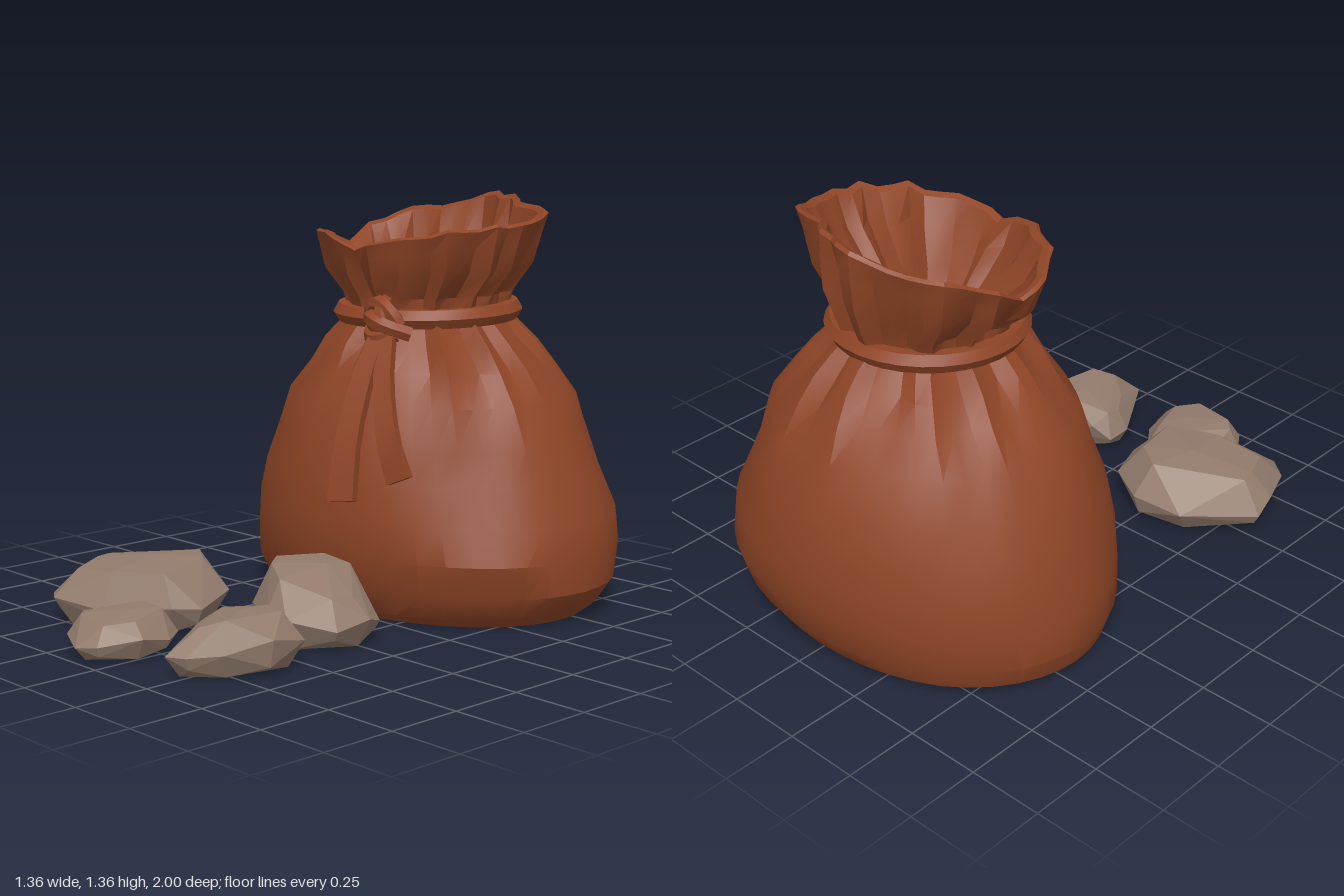
import * as THREE from 'three';
import { toCreasedNormals } from 'three/addons/utils/BufferGeometryUtils.js';
import { ConvexGeometry } from 'three/addons/geometries/ConvexGeometry.js';

const COLS = 44;

// Small seeded generator so every build is identical
function seeded(seed) {
  let s = seed;
  return () => (s = (s * 16807) % 2147483647) / 2147483647;
}

// Skin a list of equal-length closed rings, outward when they run upwards
function loft(rings, crease) {
  const n = rings[0].length, index = [];
  for (let i = 0; i < rings.length - 1; i++) {
    for (let j = 0; j < n; j++) {
      const k = (j + 1) % n;
      const a = i * n + j, b = i * n + k, c = a + n, d = b + n;
      index.push(a, c, b, b, c, d);
    }
  }
  const geo = new THREE.BufferGeometry();
  geo.setAttribute('position', new THREE.Float32BufferAttribute(rings.flat(2), 3));
  geo.setIndex(index);
  return toCreasedNormals(geo, crease);
}

// Cyclic linear lookup, t in 0..1
function cyclic(list, t) {
  const f = t * list.length, i = Math.floor(f), u = f - i;
  return list[i % list.length] * (1 - u) + list[(i + 1) % list.length] * u;
}

function sackGeometry() {
  const rand = seeded(77);
  // Uneven pleats: each is a ridge and valley of random depth and width
  const fold = [], reach = [];
  for (let sign = 1; fold.length < COLS; sign = -sign) {
    const depth = sign * (0.3 + 0.75 * rand()), width = 1 + Math.floor(2.3 * rand());
    for (let w = 0; w < width && fold.length < COLS; w++) {
      fold.push(depth * (w ? 0.55 : 1));
      reach.push(0.3 + 0.7 * rand());
    }
  }
  // Rim height and spread every 30 degrees, from +x towards the front
  const rimY = [1.28, 1.27, 1.24, 1.2, 1.25, 1.23, 1.19, 1.28, 1.31, 1.355, 1.34, 1.31];
  const spread = [1, 0.98, 0.98, 1, 0.97, 0.97, 1, 1.02, 1, 0.98, 0.83, 1.03];
  // y, centre x, centre z, radius x, radius z, pleat depth
  const body = [
    [0, 0, -0.45, 0, 0, 0], [0, -0.01, -0.44, 0.59, 0.44, 0],
    [0.03, -0.01, -0.445, 0.64, 0.48, 0], [0.11, -0.01, -0.445, 0.68, 0.525, 0],
    [0.22, 0, -0.447, 0.69, 0.553, 0], [0.33, 0, -0.445, 0.66, 0.552, 0],
    [0.45, 0, -0.44, 0.615, 0.54, 0], [0.57, 0, -0.44, 0.57, 0.51, 0.004],
    [0.7, 0, -0.43, 0.5, 0.455, 0.014], [0.8, 0.01, -0.425, 0.42, 0.4, 0.028],
    [0.88, 0.01, -0.415, 0.345, 0.345, 0.035], [0.94, 0.01, -0.41, 0.285, 0.295, 0.028],
    [0.98, 0, -0.405, 0.26, 0.265, 0.02],
  ];
  // height fraction neck to rim, radius x, radius z, pleat depth
  const collar = [
    [0.13, 0.275, 0.28, 0.03], [0.45, 0.36, 0.32, 0.032], [0.75, 0.39, 0.34, 0.025],
    [0.97, 0.415, 0.357, 0.014], [1, 0.402, 0.347, 0.014], [0.96, 0.38, 0.324, 0.016],
    [0.6, 0.335, 0.285, 0.032], [0.2, 0.235, 0.215, 0.04], [-0.1, 0.175, 0.155, 0.015],
    [-0.3, 0.17, 0.15, 0], [-0.3, 0, 0, 0],
  ];
  // Soft hollows in the belly: angle, height, depth
  const dents = [[5.65, 0.5, 0.055], [0.7, 0.5, 0.06], [3.6, 0.62, 0.025]];
  const ring = (fn) => Array.from({ length: COLS }, (_, j) => fn(j, (j / COLS) * Math.PI * 2));
  const rings = body.map(([y, cx, cz, rx, rz, pleat]) => {
    // Broad flat patches of cloth, a few columns wide
    const lumps = Array.from({ length: 11 }, () => (y > 0 && y < 0.85 ? 0.036 * (rand() - 0.55) : 0));
    return ring((j, a) => {
      let r = 1 + cyclic(lumps, j / COLS);
      for (const [da, dy, depth] of dents) {
        r -= depth * Math.exp(-(((a - da) / 0.3) ** 2) - ((y - dy) / 0.15) ** 2);
      }
      const p = pleat * fold[j] * (y < 0.85 ? reach[j] : 1);
      return [cx + Math.cos(a) * (rx * r + p), y, cz + Math.sin(a) * (rz * r + p)];
    });
  });
  for (const [f, rx, rz, pleat] of collar) {
    rings.push(ring((j, a) => {
      const t = j / COLS, s = f > 0 ? 1 + (cyclic(spread, t) - 1) * f : 1;
      const p = pleat * fold[j];
      const y = f < 0 ? 1 + f * 0.25 : 1 + f * (cyclic(rimY, t) + 0.008 * fold[j] - 1);
      return [Math.cos(a) * (rx * s + p), y, -0.41 + Math.sin(a) * (rz * s + p)];
    }));
  }
  return loft(rings, 0.45);
}

// Flat strap hanging along a curve, points run from the free end upwards
function strapGeometry(points, width, thick) {
  const curve = new THREE.CatmullRomCurve3(points.map((p) => new THREE.Vector3(...p)));
  const rings = [];
  const steps = 7;
  for (let i = 0; i <= steps; i++) {
    const c = curve.getPoint(i / steps), t = curve.getTangent(i / steps);
    const side = new THREE.Vector3(1, 0, -0.25).addScaledVector(t, -t.x).normalize();
    const out = new THREE.Vector3().crossVectors(side, t).normalize();
    const w = width * (1 - 0.4 * i / steps) / 2;
    const at = (u, v) => c.clone().addScaledVector(side, u * w).addScaledVector(out, v * thick / 2).toArray();
    const r = [at(1, -1), at(1, 1), at(-1, 1), at(-1, -1)];
    const mid = Array(4).fill(c.toArray());
    if (i === 0) rings.push(mid);
    rings.push(r);
    if (i === steps) rings.push(mid);
  }
  return loft(rings, 0.5);
}

// Chipped stone: convex hull around a footprint outline
function stoneGeometry(outline, height, lean, seed) {
  const rand = seeded(seed), pts = [];
  const cx = outline.reduce((s, p) => s + p[0], 0) / outline.length;
  const cz = outline.reduce((s, p) => s + p[1], 0) / outline.length;
  outline.forEach(([x, z], i) => {
    const put = (k, y) => pts.push(new THREE.Vector3(cx + (x - cx) * k, y, cz + (z - cz) * k));
    const tilt = 1 + lean[0] * (x - cx) + lean[1] * (z - cz);
    put(1, height * (0.35 + 0.25 * rand()) * tilt);
    if (i % 2) put(0.78, 0.005 * rand());
    else put(0.93, height * 0.18);
    if (i % 3 !== 1) put(0.68 + 0.12 * rand(), Math.min(height, height * (0.86 + 0.1 * rand()) * tilt));
  });
  pts.push(new THREE.Vector3(cx + 0.02, height, cz - 0.04));
  return new ConvexGeometry(pts);
}

export function createModel() {
  const model = new THREE.Group();
  const leather = new THREE.MeshStandardMaterial({ color: 0x8f4526 });
  leather.name = 'brownLeather';
  const stone = new THREE.MeshStandardMaterial({ color: 0x927b6c });
  stone.name = 'greyStone';

  const add = (parent, name, geo, mat) => {
    const mesh = new THREE.Mesh(geo, mat);
    mesh.name = name;
    parent.add(mesh);
    return mesh;
  };

  add(model, 'sack', sackGeometry(), leather);

  // Cord, knot and hanging ends
  const tie = new THREE.Group();
  tie.name = 'tie';
  model.add(tie);
  const cord = add(tie, 'cord', toCreasedNormals(
    new THREE.TorusGeometry(0.284, 0.035, 6, 30).rotateX(Math.PI / 2), 0.7), leather);
  cord.position.set(0, 0.975, -0.405);
  cord.rotation.x = 0.03;

  const knot = add(tie, 'knotCore', toCreasedNormals(
    new THREE.SphereGeometry(0.065, 10, 6).scale(1.1, 0.9, 0.8), 0.7), leather);
  knot.position.set(0.1, 0.955, -0.105);

  const wraps = [
    [[0.04, 0.93, -0.12], [0.03, 0.99, -0.11], [0.07, 1.02, -0.1], [0.13, 1.0, -0.09], [0.16, 0.95, -0.11]],
    [[0.03, 0.97, -0.13], [0.07, 0.975, -0.07], [0.13, 0.955, -0.065], [0.19, 0.925, -0.13]],
    [[0.04, 0.96, -0.13], [0.05, 0.92, -0.09], [0.1, 0.91, -0.07], [0.16, 0.93, -0.1]],
    [[0.05, 1.015, -0.19], [0.08, 1.02, -0.12], [0.11, 0.99, -0.08], [0.12, 0.95, -0.07]],
  ];
  for (const w of wraps) {
    const curve = new THREE.CatmullRomCurve3(w.map((p) => new THREE.Vector3(...p)));
    add(tie, 'knotWrap', toCreasedNormals(new THREE.TubeGeometry(curve, 10, 0.027, 6), 0.7), leather);
  }

  add(tie, 'longStrap', strapGeometry(
    [[0.15, 0.41, 0.135], [0.13, 0.6, 0.088], [0.112, 0.8, 0.0], [0.1, 0.94, -0.09]], 0.095, 0.03), leather);
  add(tie, 'shortStrap', strapGeometry(
    [[0.31, 0.485, 0.035], [0.26, 0.6, 0.035], [0.185, 0.78, -0.015], [0.13, 0.94, -0.09]], 0.085, 0.03), leather);

  // Stones on the ground: outline (x, z), height, lean, seed
  const stones = [
    ['largeStone', [[-0.63, 0.52], [-0.44, 0.33], [-0.27, 0.29], [-0.13, 0.37], [-0.06, 0.54],
      [-0.1, 0.63], [-0.3, 0.75], [-0.48, 0.81], [-0.55, 0.76], [-0.62, 0.6]], 0.215, [0.2, -0.3], 11],
    ['rearStone', [[-0.06, 0.3], [-0.05, 0.16], [0.05, 0.1], [0.2, 0.1], [0.36, 0.17], [0.4, 0.25],
      [0.38, 0.37], [0.27, 0.48], [0.18, 0.48], [0.03, 0.41]], 0.235, [-1.2, 0], 23],
    ['wedgeStone', [[0.08, 0.58], [0.14, 0.55], [0.28, 0.52], [0.41, 0.53], [0.43, 0.67], [0.36, 0.8],
      [0.28, 0.88], [0.22, 0.91], [0.15, 0.77], [0.07, 0.66]], 0.175, [1.2, -0.5], 37],
    ['smallStone', [[-0.28, 0.87], [-0.25, 0.73], [-0.16, 0.66], [-0.03, 0.66], [0.03, 0.74],
      [0.04, 0.85], [-0.03, 0.97], [-0.1, 1.0], [-0.24, 0.93]], 0.13, [0, -0.5], 53],
  ];
  for (const [name, outline, height, lean, seed] of stones) {
    add(model, name, stoneGeometry(outline, height, lean, seed), stone);
  }
  return model;
}
